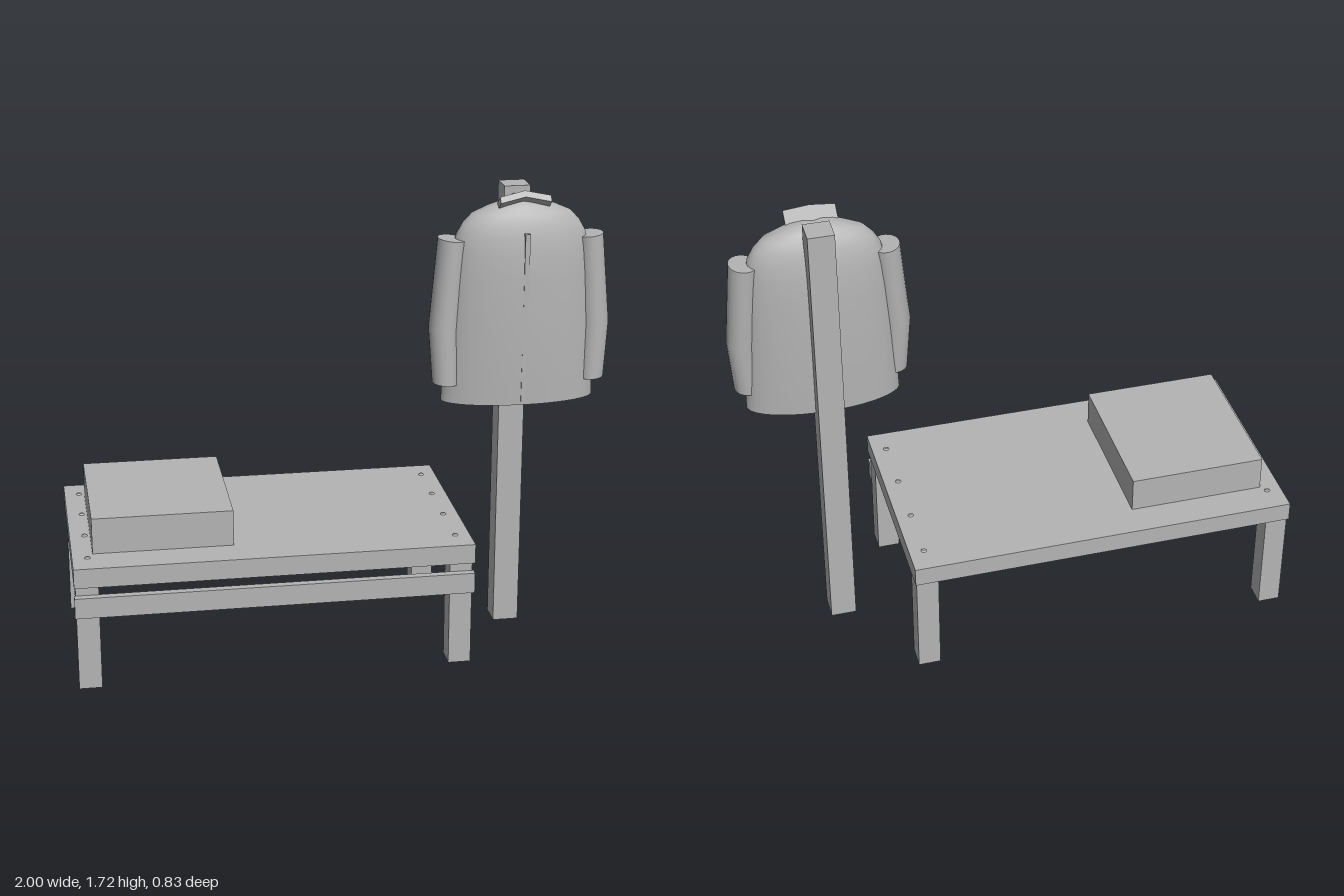
import * as THREE from 'three';
import { toCreasedNormals } from 'three/addons/utils/BufferGeometryUtils.js';

const grey = new THREE.MeshStandardMaterial({ color: 0xb4b4b4 });
grey.name = 'plain grey';

function add(parent, name, geometry) {
  const mesh = new THREE.Mesh(geometry, grey);
  mesh.name = name;
  parent.add(mesh);
  return mesh;
}

// Box given by its limits on each axis
function box(parent, name, [x0, x1], [y0, y1], [z0, z1]) {
  const mesh = add(parent, name, new THREE.BoxGeometry(x1 - x0, y1 - y0, z1 - z0));
  mesh.position.set((x0 + x1) / 2, (y0 + y1) / 2, (z0 + z1) / 2);
  return mesh;
}

// Closed loft through elliptical rings [x, y, z, radiusX, radiusZ, tilt], bottom to top
function loft(rings, sides) {
  const points = [], index = [];
  for (const [x, y, z, rx, rz, tilt = 0] of rings) {
    for (let i = 0; i < sides; i++) {
      const a = (i / sides) * Math.PI * 2;
      points.push(x + rx * Math.cos(a), y + tilt * Math.cos(a), z + rz * Math.sin(a));
    }
  }
  const last = (rings.length - 1) * sides;
  const bottom = rings.length * sides, top = bottom + 1;
  points.push(...rings[0].slice(0, 3), ...rings[rings.length - 1].slice(0, 3));
  for (let i = 0; i < sides; i++) {
    const n = (i + 1) % sides;
    for (let r = 0; r < last; r += sides) {
      index.push(r + i, r + sides + i, r + n, r + n, r + sides + i, r + sides + n);
    }
    index.push(bottom, i, n, top, last + n, last + i);
  }
  const geometry = new THREE.BufferGeometry();
  geometry.setAttribute('position', new THREE.Float32BufferAttribute(points, 3));
  geometry.setIndex(index);
  return toCreasedNormals(geometry, 0.7);
}

function createBench() {
  const bench = new THREE.Group();
  bench.name = 'bench';
  box(bench, 'benchTop', [-1, 0.45], [0.405, 0.478], [-0.415, 0.415]);
  box(bench, 'frontRail', [-1, 0.45], [0.288, 0.365], [0.385, 0.415]);
  box(bench, 'cushion', [-0.925, -0.415], [0.478, 0.612], [-0.29, 0.28]);
  for (const x of [[-0.995, -0.912], [0.362, 0.445]]) {
    for (const z of [[0.3, 0.387], [-0.405, -0.32]]) box(bench, 'leg', x, [0, 0.405], z);
  }
  // Peg heads along both ends of the top
  for (const x of [-0.945, 0.395]) {
    for (const z of [-0.315, -0.105, 0.105, 0.315]) {
      const peg = add(bench, 'peg', new THREE.CylinderGeometry(0.006, 0.011, 0.006, 10));
      peg.position.set(x, 0.481, z);
    }
  }
  return bench;
}

function createCoat() {
  const coat = new THREE.Group();
  coat.name = 'coat';
  coat.position.set(0.66, 0, 0.113);

  // Body: y, half width, half depth
  const profile = [
    [0.935, 0.285, 0.105], [1.0, 0.282, 0.107], [1.2, 0.272, 0.111], [1.4, 0.26, 0.108],
    [1.5, 0.249, 0.104], [1.56, 0.238, 0.095], [1.6, 0.215, 0.085], [1.635, 0.182, 0.071],
    [1.66, 0.125, 0.054], [1.675, 0.08, 0.038], [1.683, 0.035, 0.018],
  ];
  add(coat, 'coatBody', loft(profile.map(([y, w, d]) => [0, y, 0, w, d]), 40));
  box(coat, 'placket', [-0.009, 0.009], [0.95, 1.575], [0.09, 0.11]);

  // Bent sleeves, mirrored
  for (const s of [1, -1]) {
    add(coat, s > 0 ? 'leftSleeve' : 'rightSleeve', loft([
      [s * 0.273, 1.008, 0.019, 0.048, 0.054, s * 0.003],
      [s * 0.281, 1.22, 0.009, 0.055, 0.058, 0],
      [s * 0.254, 1.545, 0.002, 0.051, 0.06, s * 0.005],
    ], 24));
  }

  // Folded collar band
  const shape = new THREE.Shape([
    [-0.093, -0.022], [0, 0], [0.093, -0.022], [0.093, 0.003], [0, 0.025], [-0.093, 0.003],
  ].map(([x, y]) => new THREE.Vector2(x, y)));
  const collar = add(coat, 'collar',
    new THREE.ExtrudeGeometry(shape, { depth: 0.06, bevelEnabled: false }));
  collar.position.set(0, 1.664, 0.012);
  collar.rotation.x = -0.65;
  return coat;
}

export function createModel() {
  const model = new THREE.Group();
  model.name = 'benchAndCoatPost';
  model.add(createBench());
  box(model, 'post', [0.612, 0.708], [0, 1.713], [-0.05, 0.047]);
  // Hook carrying the coat
  const hook = add(model, 'hook', new THREE.CylinderGeometry(0.007, 0.007, 0.1, 10));
  hook.rotation.x = Math.PI / 2;
  hook.position.set(0.66, 1.675, 0.09);
  box(model, 'hookPlate', [0.64, 0.68], [1.655, 1.685], [0.045, 0.056]);
  model.add(createCoat());
  return model;
}
